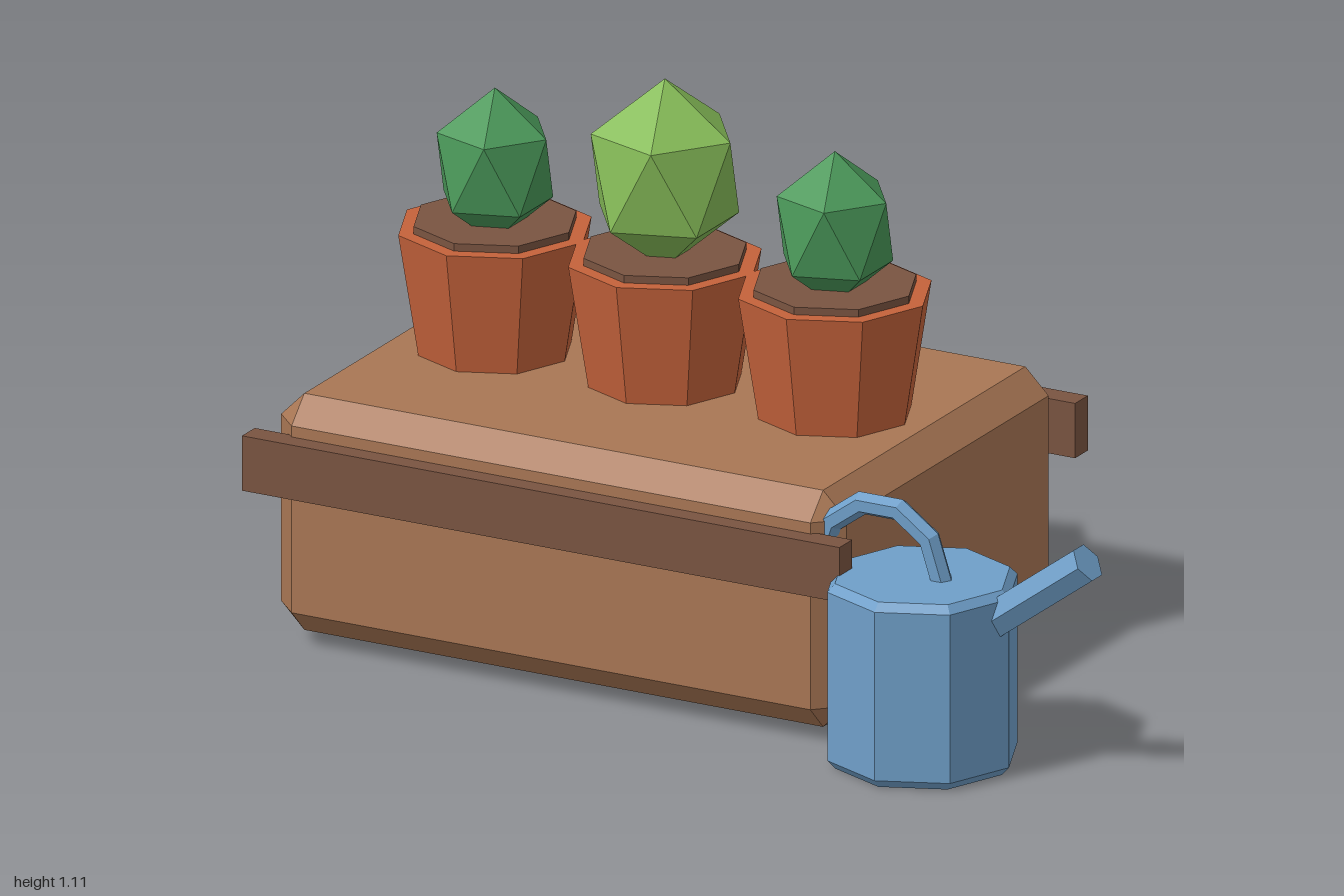
import * as THREE from 'three';
import { ConvexGeometry } from 'three/addons/geometries/ConvexGeometry.js';

const material = (name, color) => {
  const m = new THREE.MeshStandardMaterial({ color, flatShading: true });
  m.name = name;
  return m;
};

// Box whose edges are all cut by one flat chamfer
function chamferedBox(w, h, d, c) {
  const points = [];
  for (const x of [-1, 1]) for (const y of [-1, 1]) for (const z of [-1, 1])
    for (const [a, b, e] of [[0, c, c], [c, 0, c], [c, c, 0]])
      points.push(new THREE.Vector3(x * (w / 2 - a), y * (h / 2 - b), z * (d / 2 - e)));
  return new ConvexGeometry(points);
}

export function createModel() {
  const wood = material('wood', 0xa87654);
  const darkWood = material('dark wood', 0x7a5441);
  const clay = material('terracotta', 0xc4623b);
  const darkGreen = material('dark green', 0x4a9859);
  const lightGreen = material('light green', 0x86bc58);
  const blue = material('blue metal', 0x6f9fc9);

  const model = new THREE.Group();
  model.name = 'planterCrate';
  model.position.x = -0.23;
  model.rotation.y = THREE.MathUtils.degToRad(20);

  const add = (parent, name, geometry, mat, x = 0, y = 0, z = 0) => {
    const mesh = new THREE.Mesh(geometry, mat);
    mesh.name = name;
    mesh.position.set(x, y, z);
    parent.add(mesh);
    return mesh;
  };

  // Crate with a long slat on the front and back
  add(model, 'crate', chamferedBox(1.22, 0.475, 0.89, 0.05), wood, 0, 0.2625, 0);
  for (const s of [-1, 1])
    add(model, s > 0 ? 'frontSlat' : 'backSlat', new THREE.BoxGeometry(1.29, 0.11, 0.05), darkWood, 0, 0.373, s * 0.46);

  // Row of potted succulents: the middle one is larger and lighter
  const tilt = Math.atan(2 / (1 + Math.sqrt(5)));
  for (const i of [-1, 0, 1]) {
    const potted = new THREE.Group();
    potted.name = ['leftPottedPlant', 'middlePottedPlant', 'rightPottedPlant'][1 - i];
    potted.position.x = i * 0.367;
    model.add(potted);
    add(potted, 'pot', new THREE.CylinderGeometry(0.19, 0.15, 0.25, 8), clay, 0, 0.62, 0);
    add(potted, 'soil', new THREE.CylinderGeometry(0.16, 0.16, 0.04, 8), darkWood, 0, 0.74, 0);
    const [r, h, y] = i === 0 ? [0.158, 0.19, 0.915] : [0.124, 0.155, 0.868];
    const plant = new THREE.IcosahedronGeometry(1, 0).rotateZ(-tilt).scale(r, h, r);
    add(potted, 'succulent', plant, i === 0 ? lightGreen : darkGreen, 0, y, 0);
  }

  // Watering can beside the crate
  const can = new THREE.Group();
  can.name = 'wateringCan';
  can.position.set(0.78, 0, 0.405);
  model.add(can);
  const profile = [[0, 0], [0.172, 0], [0.187, 0.017], [0.187, 0.355], [0.172, 0.371], [0, 0.371]];
  add(can, 'canBody', new THREE.LatheGeometry(profile.map(p => new THREE.Vector2(...p)), 8), blue);

  // Spout rising outward
  const from = new THREE.Vector3(0.1, 0.268, 0), to = new THREE.Vector3(0.357, 0.458, 0);
  const axis = to.clone().sub(from);
  const spout = add(can, 'spout', new THREE.CylinderGeometry(0.039, 0.039, axis.length(), 6), blue);
  spout.position.copy(from).lerp(to, 0.5);
  spout.quaternion.setFromUnitVectors(new THREE.Vector3(0, 1, 0), axis.normalize());

  // Arched handle
  add(can, 'handle', new THREE.TorusGeometry(0.13, 0.023, 6, 5, Math.PI), blue, -0.09, 0.37, 0);

  const root = new THREE.Group();
  root.name = 'plantersAndCan';
  root.add(model);
  return root;
}
